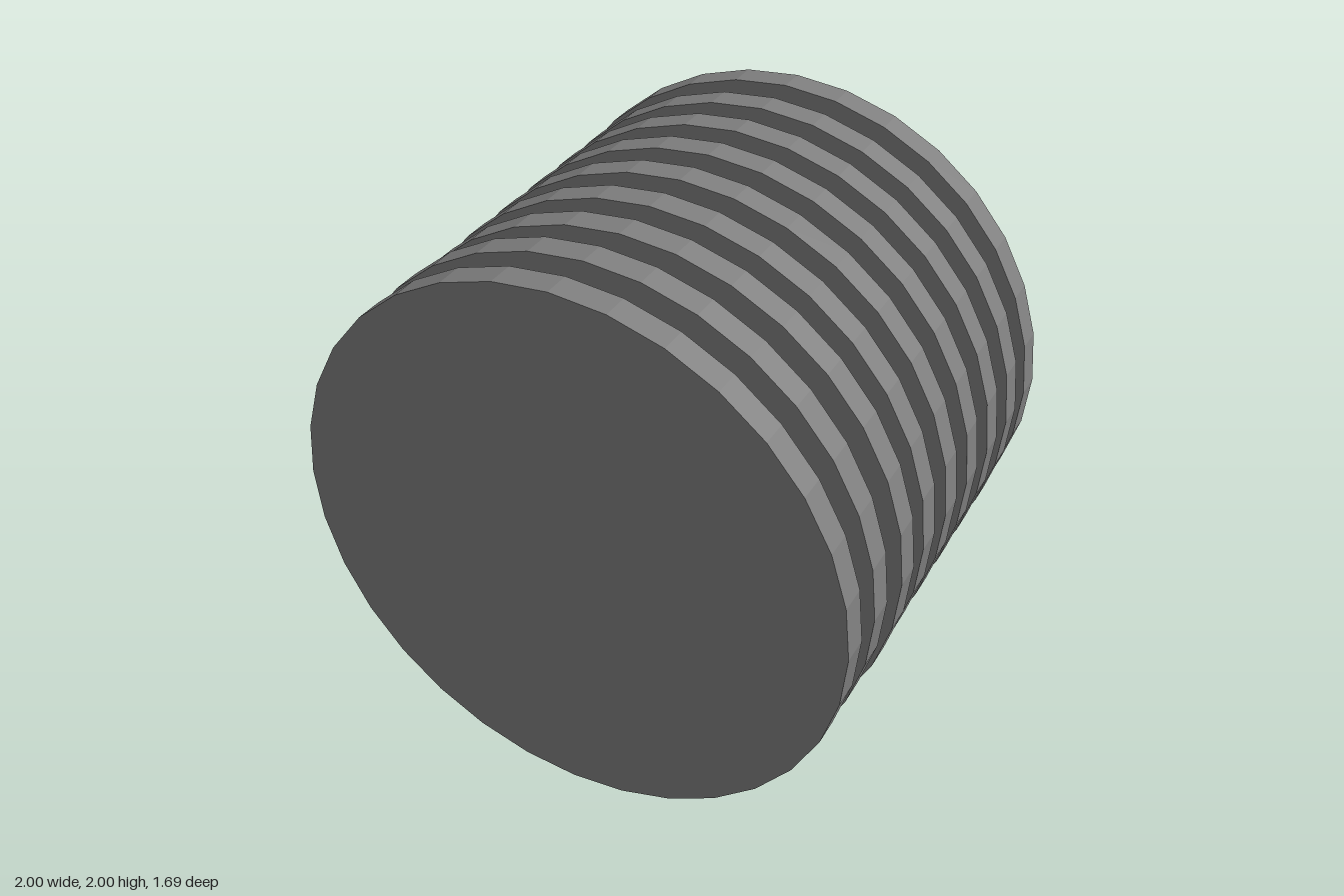
import * as THREE from 'three';

export function createModel() {
  const group = new THREE.Group();
  const grey = new THREE.MeshStandardMaterial({ color: 0x808080 });
  grey.name = 'mid grey';
  grey.flatShading = true;

  // One faceted disc with its axis along z
  const radius = 0.996, thickness = 0.1, pitch = 0.199;
  const disc = new THREE.CylinderGeometry(radius, radius, thickness, 32).rotateX(Math.PI / 2);

  // Slight misalignment [x, y] of each disc, from front to back
  const offsets = [
    [-0.005, 0.008], [-0.005, 0.008], [0.004, 0.003], [-0.002, 0], [-0.002, 0],
    [-0.002, 0], [-0.002, 0], [-0.002, 0], [-0.005, 0.006],
  ];

  // Row of nine separate discs
  offsets.forEach(([x, y], i) => {
    const mesh = new THREE.Mesh(disc, grey);
    mesh.name = `disc${i + 1}`;
    mesh.position.set(x, radius + y, (4 - i) * pitch - 0.002);
    group.add(mesh);
  });

  return group;
}
